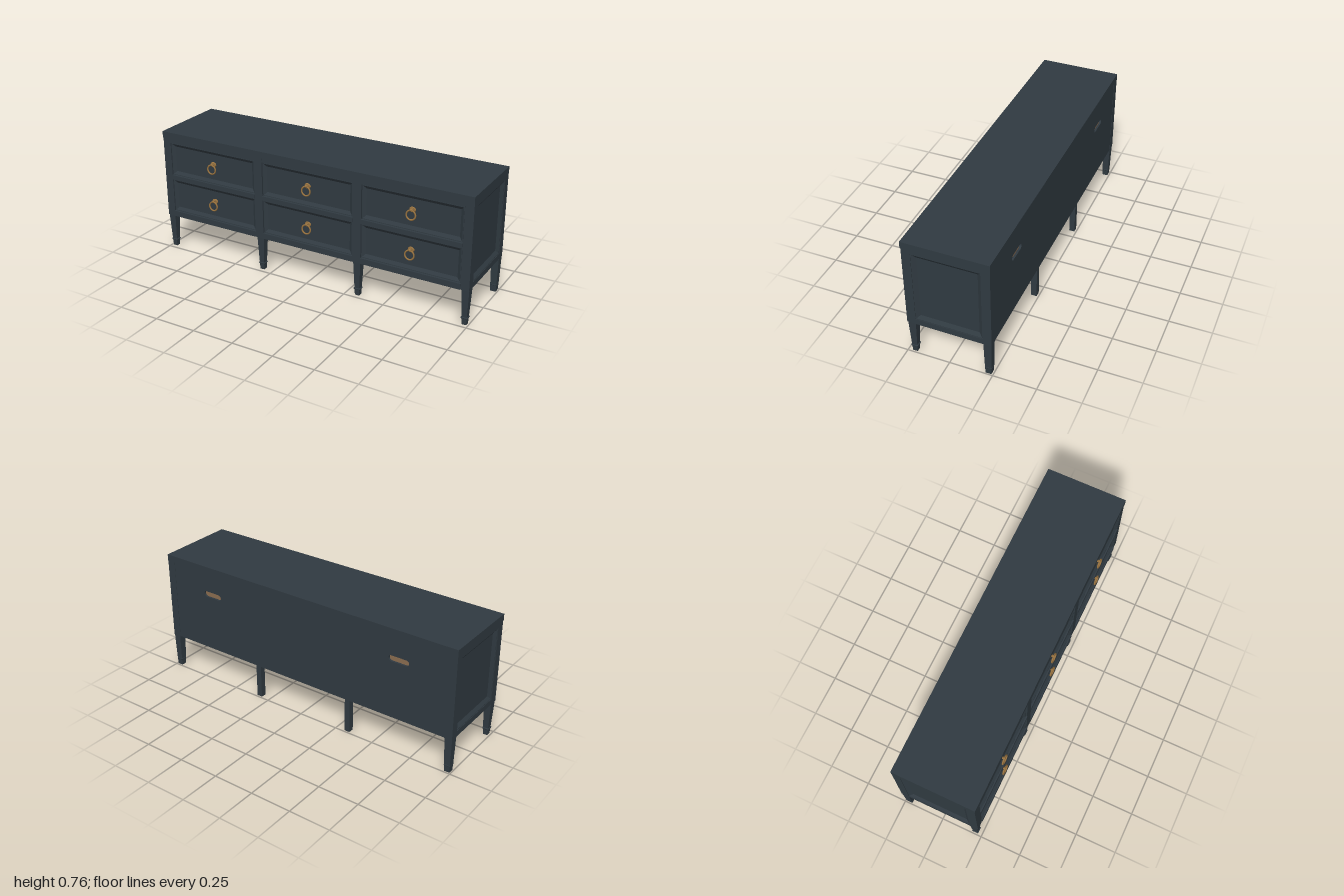
import * as THREE from 'three';
import { mergeVertices } from 'three/addons/utils/BufferGeometryUtils.js';
import { RoundedBoxGeometry } from 'three/addons/geometries/RoundedBoxGeometry.js';

const paint = new THREE.MeshStandardMaterial({ color: 0x303a41 });
paint.name = 'slate paint';
const brass = new THREE.MeshStandardMaterial({ color: 0x96713f });
brass.name = 'aged brass';
const wood = new THREE.MeshStandardMaterial({ color: 0x8a6c50 });
wood.name = 'drawer wood';

const ROWS = [[0.25, 0.46], [0.487, 0.695]];
const COLUMNS = [[-0.948, -0.348], [-0.296, 0.296], [0.348, 0.948]];

function add(parent, name, geometry, material, x = 0, y = 0, z = 0) {
  const mesh = new THREE.Mesh(geometry, material);
  mesh.name = name;
  mesh.position.set(x, y, z);
  parent.add(mesh);
  return mesh;
}

// Box given by its extents on each axis
function slab(parent, name, [x0, x1], [y0, y1], [z0, z1], material = paint) {
  return add(parent, name, new THREE.BoxGeometry(x1 - x0, y1 - y0, z1 - z0), material,
    (x0 + x1) / 2, (y0 + y1) / 2, (z0 + z1) / 2);
}

// Panel facing +z: edge skirt, sloping moulding, recessed flat field
function recessedPanel(w, h, border, depth) {
  const rings = [[w, h, -0.02], [w, h, 0], [w - 0.008, h - 0.008, 0],
    [w - 2 * border, h - 2 * border, -depth]].map(([a, b, z]) =>
    [[-a / 2, -b / 2, z], [a / 2, -b / 2, z], [a / 2, b / 2, z], [-a / 2, b / 2, z]]);
  const points = [];
  const quad = (a, b, c, d) => points.push(...a, ...b, ...c, ...a, ...c, ...d);
  for (let r = 0; r < 3; r++) {
    for (let i = 0; i < 4; i++) {
      const j = (i + 1) % 4;
      quad(rings[r][i], rings[r][j], rings[r + 1][j], rings[r + 1][i]);
    }
  }
  quad(...rings[3]);
  const geometry = new THREE.BufferGeometry();
  geometry.setAttribute('position', new THREE.Float32BufferAttribute(points, 3));
  geometry.computeVertexNormals();
  return mergeVertices(geometry);
}

// Square tapered post with flat faces, standing on its base
function taper(topWidth, bottomWidth, height) {
  const g = new THREE.CylinderGeometry(topWidth * Math.SQRT1_2, bottomWidth * Math.SQRT1_2, height, 4)
    .rotateY(Math.PI / 4).translate(0, height / 2, 0).toNonIndexed();
  g.computeVertexNormals();
  return g;
}

function turnedLeg(x, z, foot) {
  const leg = new THREE.Group();
  leg.name = 'taperedLeg';
  add(leg, 'legShaft', taper(0.045, foot + 0.003, 0.174), paint, 0, 0.043);
  add(leg, 'legCollar', new RoundedBoxGeometry(0.04, 0.01, 0.04, 2, 0.0045), paint, 0, 0.042);
  add(leg, 'legFoot', taper(foot + 0.003, foot - 0.001, 0.042), paint);
  leg.position.set(x, 0, z);
  return leg;
}

function ringPull(x, y) {
  const pull = new THREE.Group();
  pull.name = 'ringPull';
  const plate = add(pull, 'pullRosette', new THREE.CylinderGeometry(0.017, 0.02, 0.006, 20).rotateX(Math.PI / 2),
    brass, 0, 0.016, 0.225);
  plate.scale.y = 0.8;
  add(pull, 'pullStem', new THREE.CylinderGeometry(0.006, 0.008, 0.02, 12).rotateX(Math.PI / 2),
    brass, 0, 0.018, 0.235);
  add(pull, 'pullKnob', new THREE.SphereGeometry(0.0085, 14, 10), brass, 0, 0.02, 0.2415);
  const ring = add(pull, 'pullRing', new THREE.TorusGeometry(0.027, 0.0048, 8, 32), brass, 0, -0.009, 0.2435);
  ring.rotation.x = -0.06;
  pull.position.set(x, y, 0);
  return pull;
}

export function createModel() {
  const model = new THREE.Group();
  model.name = 'sideboard';

  // Carcass
  slab(model, 'top', [-1, 1], [0.72, 0.76], [-0.25, 0.242]);
  slab(model, 'bottomBoard', [-0.99, 0.99], [0.217, 0.235], [-0.24, 0.23]);

  for (const s of [-1, 1]) {
    const span = (a, b) => (s > 0 ? [a, b] : [-b, -a]);
    // Corner and middle posts
    slab(model, 'frontCornerPost', span(0.948, 0.999), [0.215, 0.72], [0.187, 0.238]);
    slab(model, 'backCornerPost', span(0.948, 0.999), [0.215, 0.72], [-0.249, -0.2]);
    slab(model, 'middlePost', span(0.296, 0.348), [0.215, 0.72], [0.2, 0.24]);
    // Framed side
    slab(model, 'sideTopRail', span(0.96, 0.999), [0.695, 0.72], [-0.2, 0.187]);
    slab(model, 'sideBottomRail', span(0.96, 0.999), [0.215, 0.25], [-0.2, 0.187]);
    const side = add(model, 'sidePanel', recessedPanel(0.387, 0.445, 0.025, 0.014), paint,
      s * 0.996, 0.4725, -0.0065);
    side.rotation.y = s * Math.PI / 2;
    // Legs
    model.add(turnedLeg(s * 0.976, 0.21, 0.028), turnedLeg(s * 0.322, 0.21, 0.028),
      turnedLeg(s * 0.976, -0.224, 0.034));
    add(model, 'backSupportLeg', taper(0.034, 0.034, 0.217), paint, s * 0.322, 0, -0.222);
  }

  // Drawer fronts, boxes, rails and pulls
  for (const [x0, x1] of COLUMNS) {
    const cx = (x0 + x1) / 2;
    slab(model, 'lowerRail', [x0, x1], [0.215, 0.25], [0.2, 0.242]);
    slab(model, 'middleRail', [x0, x1], [0.46, 0.487], [0.2, 0.242]);
    slab(model, 'upperRail', [x0, x1], [0.695, 0.72], [0.2, 0.239]);
    for (const [y0, y1] of ROWS) {
      const cy = (y0 + y1) / 2;
      add(model, 'drawerFront', recessedPanel(x1 - x0 - 0.006, y1 - y0 - 0.006, 0.022, 0.012), paint,
        cx, cy, 0.234);
      slab(model, 'drawerBox', [x0 + 0.03, x1 - 0.03], [y0 + 0.015, y1 - 0.1], [-0.2, 0.205], wood);
      model.add(ringPull(cx, cy));
    }
  }

  // Back board with two rounded cable slots
  const board = new THREE.Shape([[-0.95, 0.215], [0.95, 0.215], [0.95, 0.72], [-0.95, 0.72]]
    .map(([x, y]) => new THREE.Vector2(x, y)));
  for (const x of [-0.653, 0.653]) {
    const slot = new THREE.Path();
    slot.absarc(x + 0.046, 0.58, 0.018, -Math.PI / 2, Math.PI / 2, false);
    slot.absarc(x - 0.046, 0.58, 0.018, Math.PI / 2, Math.PI * 1.5, false);
    slot.closePath();
    board.holes.push(slot);
    // Drawer backs seen through the slots
    slab(model, 'drawerBack', [x - 0.25, x + 0.25], [0.5, 0.592], [-0.222, -0.2], wood);
  }
  add(model, 'backBoard', new THREE.ExtrudeGeometry(board, { depth: 0.012, bevelEnabled: false, curveSegments: 10 }),
    paint, 0, 0, -0.247);

  return model;
}
